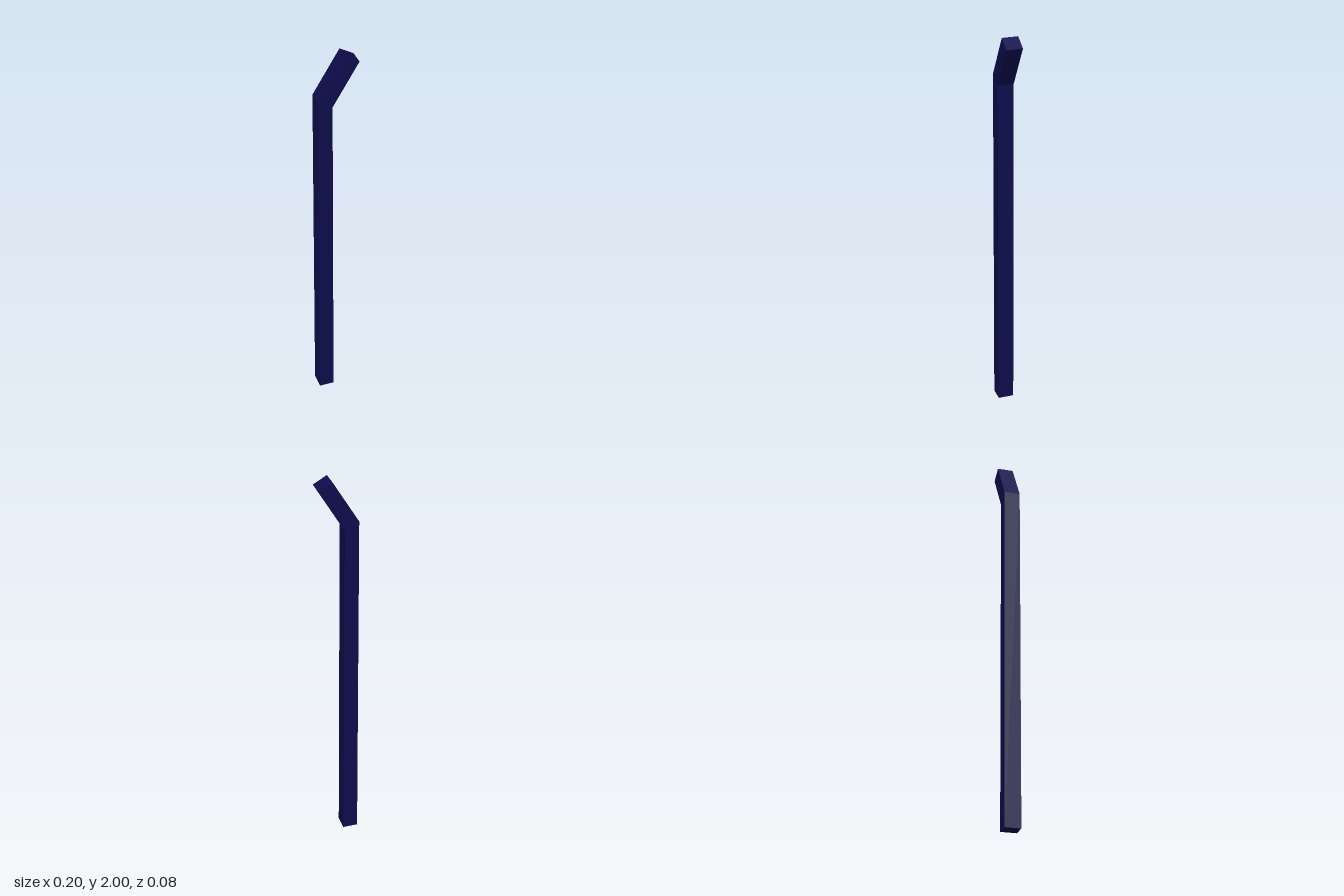
import * as THREE from 'three';

export function createModel() {
  const group = new THREE.Group();
  const depth = 0.08;

  // Side profile of the square bar: slightly tapered shaft with a mitred, angled tip
  const profile = new THREE.Shape([
    [-0.102, 0], [-0.025, 0],        // foot
    [-0.028, 1.745],                 // inner bend
    [0.102, 1.962], [0.034, 2],      // tip
    [-0.098, 1.782],                 // outer bend
  ].map(([x, y]) => new THREE.Vector2(x, y)));

  const geometry = new THREE.ExtrudeGeometry(profile, { depth, bevelEnabled: false });
  geometry.translate(0, 0, -depth / 2);

  const bar = new THREE.Mesh(
    geometry,
    new THREE.MeshStandardMaterial({ color: 0x0d0d4d, flatShading: true })
  );
  bar.name = 'bentBar';
  group.add(bar);
  return group;
}
